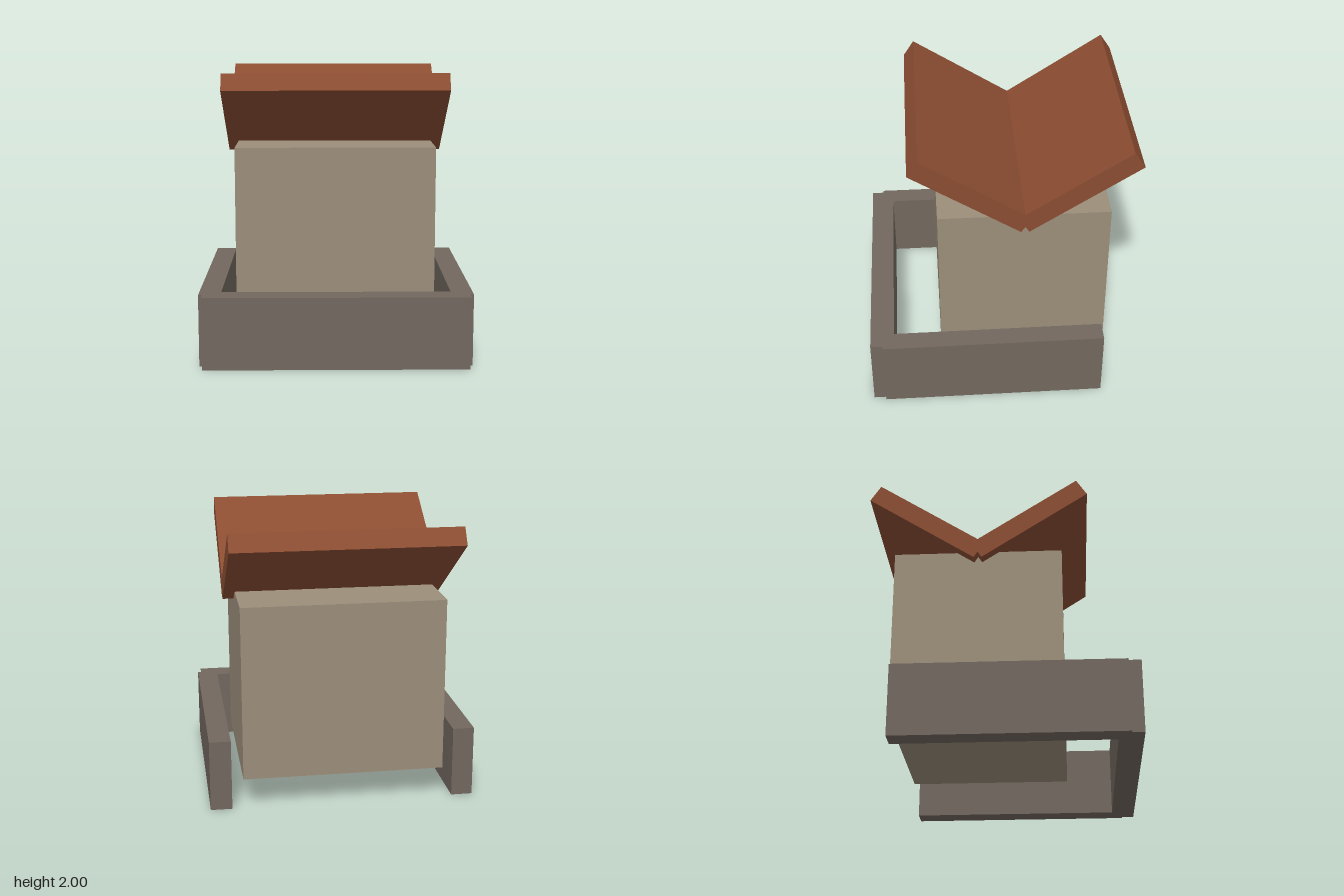
import * as THREE from 'three';

const material = (name, color) => {
  const m = new THREE.MeshStandardMaterial({ color });
  m.name = name;
  return m;
};

export function createModel() {
  const model = new THREE.Group();
  model.name = 'house';

  const stone = material('stone grey', 0x72685f);
  const plaster = material('plaster beige', 0x9c8e7a);
  const tile = material('roof brown', 0x8b4d32);

  const box = (name, mat, [w, h, d], [x, y, z], tilt = 0) => {
    const mesh = new THREE.Mesh(new THREE.BoxGeometry(w, h, d), mat);
    mesh.name = name;
    mesh.position.set(x, y, z);
    mesh.rotation.x = tilt;
    model.add(mesh);
  };

  // House body, raised off the ground
  box('body', plaster, [1.426, 1.24, 1.19], [0, 0.85, -0.16]);

  // Low wall around the front and both sides, open at the back
  box('frontWall', stone, [1.838, 0.508, 0.168], [0, 0.254, 0.859]);
  for (const [side, s] of [['left', 1], ['right', -1]]) {
    box(side + 'Wall', stone, [0.152, 0.508, 1.582], [s * 0.869, 0.254, 0.066]);
  }

  // Two roof slabs meeting in a valley
  for (const [end, s] of [['front', 1], ['back', -1]]) {
    box(end + 'RoofSlab', tile, [1.582, 0.137, 0.903], [0, 1.695, -0.158 + s * 0.368], -s * 0.58);
  }

  return model;
}
